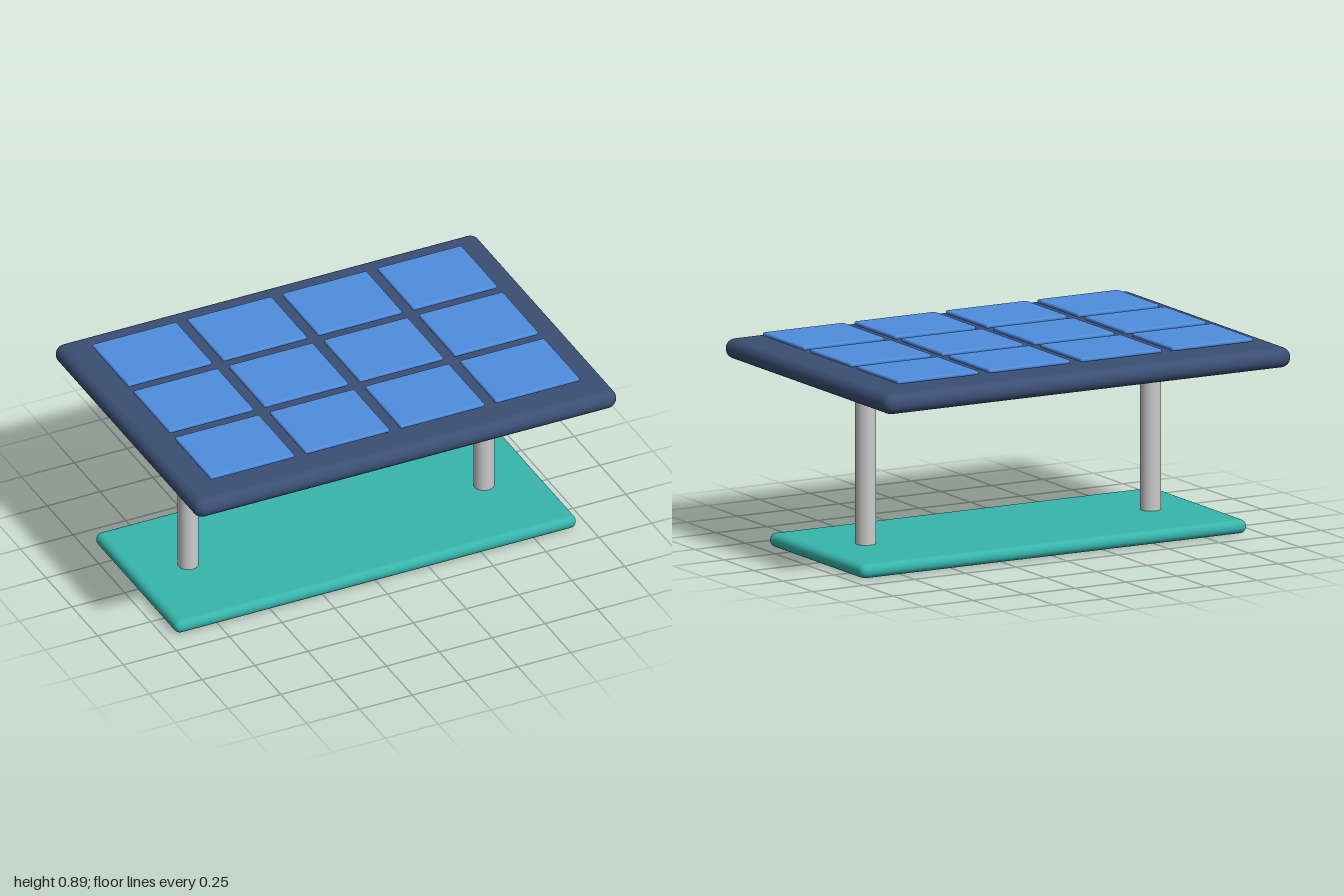
import * as THREE from 'three';
import { RoundedBoxGeometry } from 'three/addons/geometries/RoundedBoxGeometry.js';

const frameMaterial = new THREE.MeshStandardMaterial({ color: 0x3b4f74 });
const cellMaterial = new THREE.MeshStandardMaterial({ color: 0x4f8cde });
const baseMaterial = new THREE.MeshStandardMaterial({ color: 0x36b5ac });
const postMaterial = new THREE.MeshStandardMaterial({ color: 0xcccccc });

// Rounded slab spanning y = bottom to y = top
function slab(name, width, depth, bottom, top, radius, material) {
  const height = top - bottom;
  const mesh = new THREE.Mesh(new RoundedBoxGeometry(width, height, depth, 4, radius), material);
  mesh.name = name;
  mesh.position.y = (bottom + top) / 2;
  return mesh;
}

export function createModel() {
  const model = new THREE.Group();
  model.name = 'solarPanel';

  // Ground plate and panel frame
  model.add(slab('base', 1.9, 0.8, 0, 0.06, 0.029, baseMaterial));
  model.add(slab('panelFrame', 2, 1.4, 0.77, 0.857, 0.043, frameMaterial));

  // Support posts, sunk slightly into both slabs
  for (const side of [-1, 1]) {
    const post = new THREE.Mesh(new THREE.CylinderGeometry(0.045, 0.045, 0.75, 24), postMaterial);
    post.name = side > 0 ? 'leftPost' : 'rightPost';
    post.position.set(side * 0.7, 0.415, 0);
    model.add(post);
  }

  // 4 x 3 grid of cells hovering just above the frame
  const cells = new THREE.Group();
  cells.name = 'cells';
  for (let row = 0; row < 3; row++) {
    for (let col = 0; col < 4; col++) {
      const cell = slab('cell', 0.4, 0.35, 0.873, 0.891, 0.008, cellMaterial);
      cell.position.x = (col - 1.5) * 0.45;
      cell.position.z = (row - 1) * 0.4;
      cells.add(cell);
    }
  }
  model.add(cells);
  return model;
}
